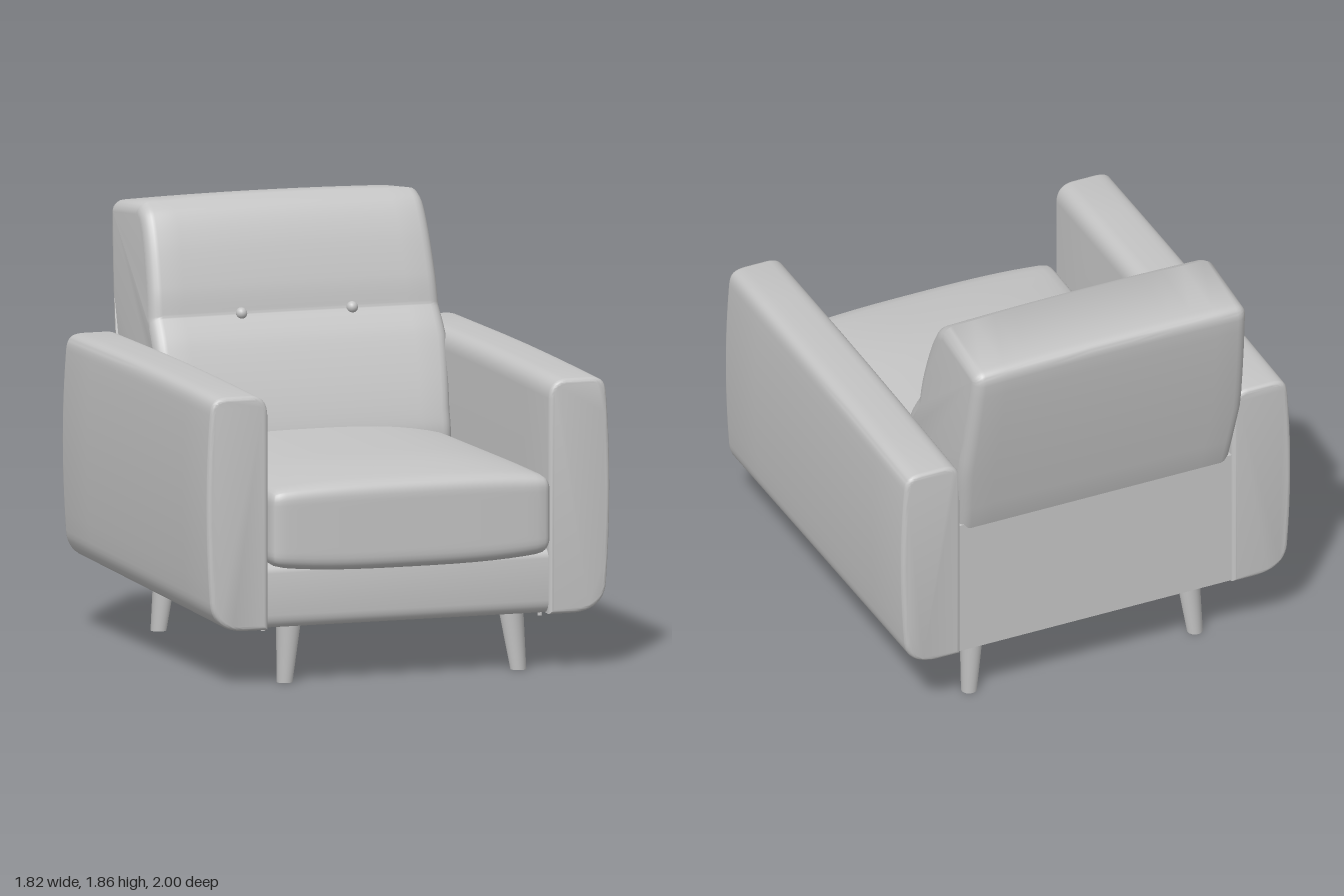
import * as THREE from 'three';
import { mergeVertices, toCreasedNormals } from 'three/addons/utils/BufferGeometryUtils.js';

const V2 = (x, y) => new THREE.Vector2(x, y);

// Move every vertex of a geometry by a rule
function deform(geo, rule) {
  const p = geo.attributes.position;
  const v = new THREE.Vector3();
  for (let i = 0; i < p.count; i++) {
    v.fromBufferAttribute(p, i);
    rule(v);
    p.setXYZ(i, v.x, v.y, v.z);
  }
  return geo;
}

// Extrusion with rounded edges, centred on its depth
function roundedExtrude(shape, length, bevel, steps) {
  const geo = new THREE.ExtrudeGeometry(shape, {
    depth: length - 2 * bevel, steps, curveSegments: 10,
    bevelThickness: bevel, bevelSize: bevel, bevelOffset: -bevel, bevelSegments: 5,
  });
  return geo.translate(0, 0, -(length - 2 * bevel) / 2);
}

// Box with rounded edges and a grid dense enough to be puffed up
function softBox(w, h, d, r, n = 20) {
  const half = [w / 2, h / 2, d / 2];
  let geo = new THREE.BoxGeometry(2, 2, 2, n, n, n);
  deform(geo, (v) => {
    const p = v.toArray().map((c, i) => Math.sin(c * Math.PI / 2) * half[i]);
    const q = p.map((c, i) => THREE.MathUtils.clamp(c, r - half[i], half[i] - r));
    const dir = new THREE.Vector3(p[0] - q[0], p[1] - q[1], p[2] - q[2]).normalize();
    v.fromArray(q).addScaledVector(dir, r);
  });
  geo.deleteAttribute('normal');
  geo.deleteAttribute('uv');
  return mergeVertices(geo, 1e-5);
}

export function createModel() {
  const chair = new THREE.Group();
  chair.name = 'armchair';
  const fabric = new THREE.MeshStandardMaterial({ color: 0xc4c4c4 });
  fabric.name = 'light grey';

  const add = (name, geo) => {
    const mesh = new THREE.Mesh(geo, fabric);
    mesh.name = name;
    chair.add(mesh);
    return mesh;
  };

  // Arms: rounded section swept front to back, underside rising to the rear
  const armShape = (s) => {
    const a = new THREE.Shape();
    a.moveTo(s * 0.635, 0.24);
    a.lineTo(s * 0.75, 0.24);
    a.bezierCurveTo(s * 0.84, 0.245, s * 0.89, 0.29, s * 0.895, 0.37);
    a.quadraticCurveTo(s * 0.925, 0.8, s * 0.895, 1.19);
    a.bezierCurveTo(s * 0.89, 1.25, s * 0.87, 1.262, s * 0.82, 1.265);
    a.lineTo(s * 0.71, 1.265);
    a.quadraticCurveTo(s * 0.638, 1.26, s * 0.635, 1.18);
    a.closePath();
    return a;
  };
  for (const s of [1, -1]) {
    const geo = roundedExtrude(armShape(s), 1.79, 0.02, 6).translate(0, 0, 0.05);
    deform(geo, (v) => {
      const back = (0.945 - v.z) / 1.79;
      const up = (v.y - 0.24) / 1.025;
      v.y += 0.065 * back * (1 - up) + up * (0.025 * Math.sin(Math.min(1, back * 1.4) * Math.PI / 2) - 0.018);
    });
    add(s > 0 ? 'leftArm' : 'rightArm', toCreasedNormals(geo, 0.6));
  }

  // Base: front rail, floor and back panel as one side profile
  const baseShape = new THREE.Shape();
  baseShape.moveTo(-0.83, 0.31);
  baseShape.lineTo(0.88, 0.243);
  baseShape.quadraticCurveTo(0.925, 0.245, 0.93, 0.3);
  baseShape.lineTo(0.93, 0.48);
  baseShape.quadraticCurveTo(0.925, 0.515, 0.89, 0.52);
  baseShape.lineTo(-0.4, 0.52);
  baseShape.lineTo(-0.5, 0.93);
  baseShape.lineTo(-0.83, 0.95);
  baseShape.closePath();
  const baseGeo = new THREE.ExtrudeGeometry(baseShape, { depth: 1.29, bevelEnabled: false, curveSegments: 8 });
  baseGeo.translate(0, 0, -0.645).rotateY(-Math.PI / 2);
  add('base', toCreasedNormals(baseGeo, 0.6));

  // Seat cushion: crowned top, bellied underside, sloped front edges
  const seatGeo = softBox(1.27, 0.33, 1.42, 0.055).translate(0, 0.675, 0.29);
  deform(seatGeo, (v) => {
    const cx = 1 - Math.pow(Math.abs(v.x) / 0.635, 3);
    const f = THREE.MathUtils.clamp((1 - v.z) / 0.5, 0, 1);
    const k = (v.y - 0.675) / 0.165;
    if (k > 0) v.y += k * 0.065 * cx * (0.3 + 0.7 * Math.sin(f * Math.PI / 2));
    else v.y += k * 0.03 * cx;
    if (v.z > 0.9) v.z -= 0.015 * (1 - cx);
  });
  seatGeo.computeVertexNormals();
  add('seatCushion', seatGeo);

  // Backrest: leaning side profile with a tufted crease across the front
  const backShape = new THREE.Shape();
  backShape.moveTo(-0.22, 0.8);
  backShape.splineThru([V2(-0.225, 0.9), V2(-0.28, 1.08), V2(-0.36, 1.27), V2(-0.432, 1.38)]);
  backShape.splineThru([V2(-0.455, 1.5), V2(-0.515, 1.68), V2(-0.58, 1.8), V2(-0.65, 1.845)]);
  backShape.lineTo(-0.95, 1.812);
  backShape.bezierCurveTo(-0.985, 1.808, -1, 1.79, -0.998, 1.75);
  backShape.quadraticCurveTo(-0.96, 1.45, -0.84, 0.95);
  backShape.lineTo(-0.78, 0.8);
  backShape.closePath();
  const backGeo = roundedExtrude(backShape, 1.3, 0.05, 12).rotateY(-Math.PI / 2);
  deform(backGeo, (v) => {
    const y = v.y;
    v.x *= y > 1.25 ? 1.015 - 0.04 * (y - 1.25) / 0.6 : 0.975 + 0.04 * Math.max(0, (y - 0.95) / 0.3);
    v.y += 0.012 * Math.max(0, (y - 1.3) / 0.55) * (1 - (v.x / 0.65) ** 2);
  });
  add('backrest', toCreasedNormals(backGeo, 0.7));

  // Backrest buttons
  for (const s of [1, -1]) {
    add('button', new THREE.SphereGeometry(0.025, 16, 12)).position.set(s * 0.25, 1.383, -0.43);
  }

  // Splayed tapered legs and the small studs beside them
  for (const s of [1, -1]) {
    for (const [name, topY, topZ, footZ, studY, studZ] of [
      ['frontLeg', 0.3, 0.825, 0.85, 0.24, 0.85],
      ['backLeg', 0.36, -0.66, -0.692, 0.297, -0.66],
    ]) {
      const leg = new THREE.CylinderGeometry(0.056, 0.034, topY, 20).translate(0, topY / 2, 0);
      deform(leg, (v) => {
        const t = v.y / topY;
        v.x += s * THREE.MathUtils.lerp(0.528, 0.498, t);
        v.z += THREE.MathUtils.lerp(footZ, topZ, t);
      });
      add(name, leg);
      add('stud', new THREE.CylinderGeometry(0.01, 0.01, 0.03, 10)).position.set(s * 0.625, studY, studZ);
    }
  }
  return chair;
}
